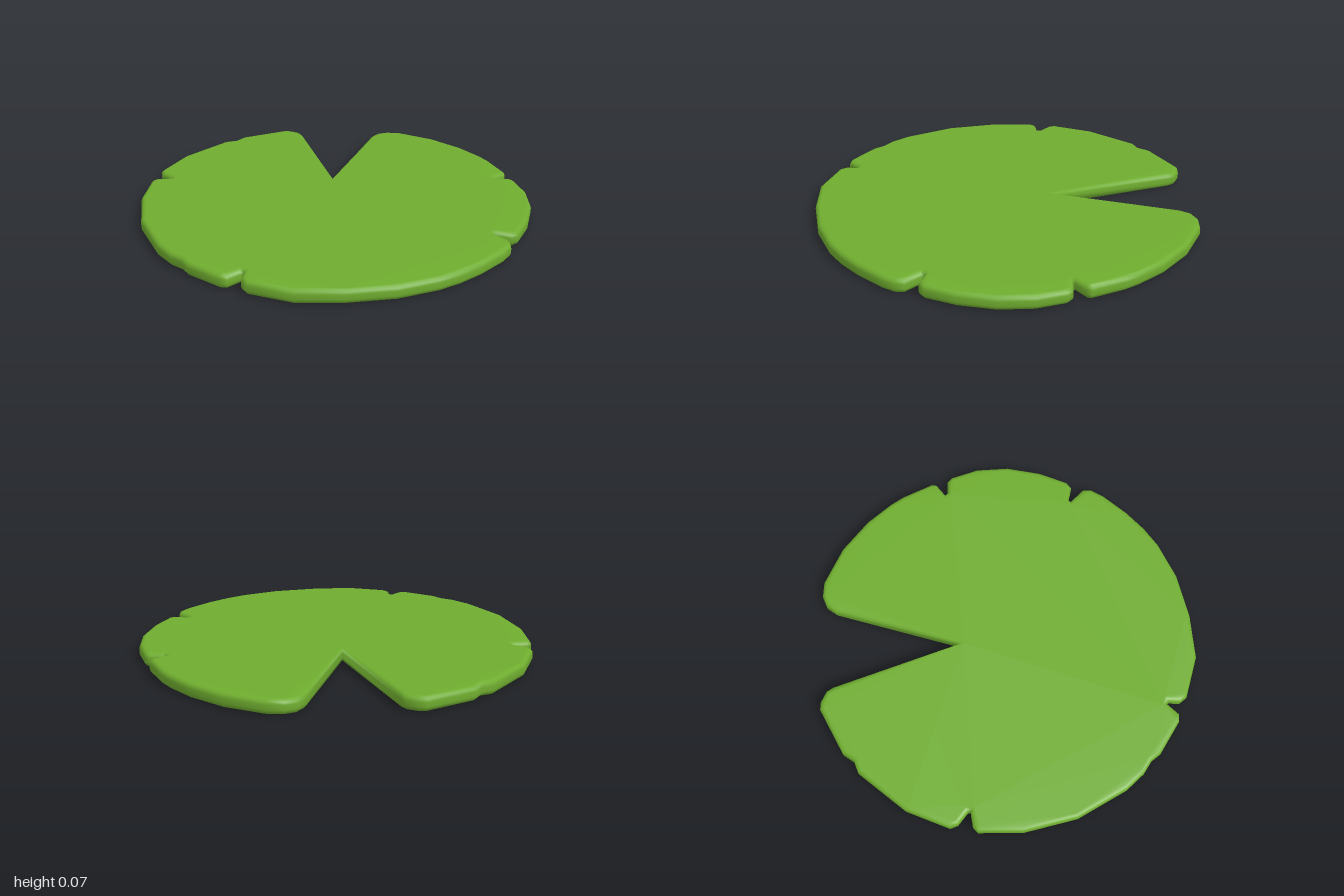
import * as THREE from 'three';
import { mergeVertices } from 'three/addons/utils/BufferGeometryUtils.js';

// Rim of the leaf as x, z pairs, one row per lobe between nicks
const rim = [
  0.12, -0.2, 0.65, -0.595, 0.71, -0.615, 0.77, -0.6, 0.83, -0.55, 0.93, -0.36, 0.98, -0.16, 0.99, 0, 0.985, 0.08, 0.95, 0.25, 0.93, 0.268,
  0.855, 0.27, 0.855, 0.283, 0.91, 0.325, 0.917, 0.36, 0.87, 0.5, 0.775, 0.64, 0.64, 0.76, 0.505, 0.84, 0.465, 0.84,
  0.415, 0.78, 0.403, 0.785, 0.415, 0.88, 0.39, 0.915, 0.32, 0.945, 0.16, 0.98, 0.03, 0.992, -0.09, 0.988, -0.29, 0.945, -0.5, 0.85, -0.69, 0.725, -0.82, 0.545, -0.82, 0.5,
  -0.782, 0.455, -0.79, 0.443, -0.865, 0.455, -0.893, 0.43, -0.96, 0.25, -0.96, 0.19, -0.985, 0.12, -0.995, 0, -0.955, -0.28, -0.845, -0.53, -0.71, -0.705, -0.675, -0.71,
  -0.61, -0.675, -0.603, -0.685, -0.622, -0.76, -0.61, -0.8, -0.41, -0.92, -0.115, -0.995,
  -0.055, -0.978, 0.01, -1, 0.27, -0.96, 0.3, -0.935, 0.328, -0.88, 0.325, -0.84,
];

export function createModel() {
  const group = new THREE.Group();
  group.name = 'lilyPad';
  const leafGreen = new THREE.MeshStandardMaterial({ color: 0x6fad2f });
  leafGreen.name = 'leafGreen';

  const points = [];
  for (let i = 0; i < rim.length; i += 2) points.push(new THREE.Vector2(rim[i], -rim[i + 1]));

  // Thin slab with a rounded edge, laid flat
  const bevel = 0.024;
  let leaf = new THREE.ExtrudeGeometry(new THREE.Shape(points), {
    depth: 0.024, bevelEnabled: true, bevelThickness: bevel, bevelSize: bevel,
    bevelOffset: -bevel, bevelSegments: 3,
  });
  leaf.rotateX(-Math.PI / 2);
  leaf.translate(0, bevel, 0);

  // Weld the rim to the faces so the edge shades smoothly
  leaf.deleteAttribute('normal');
  leaf.deleteAttribute('uv');
  leaf.clearGroups();
  leaf = mergeVertices(leaf, 1e-4);
  leaf.computeVertexNormals();

  const mesh = new THREE.Mesh(leaf, leafGreen);
  mesh.name = 'leaf';
  group.add(mesh);
  return group;
}
